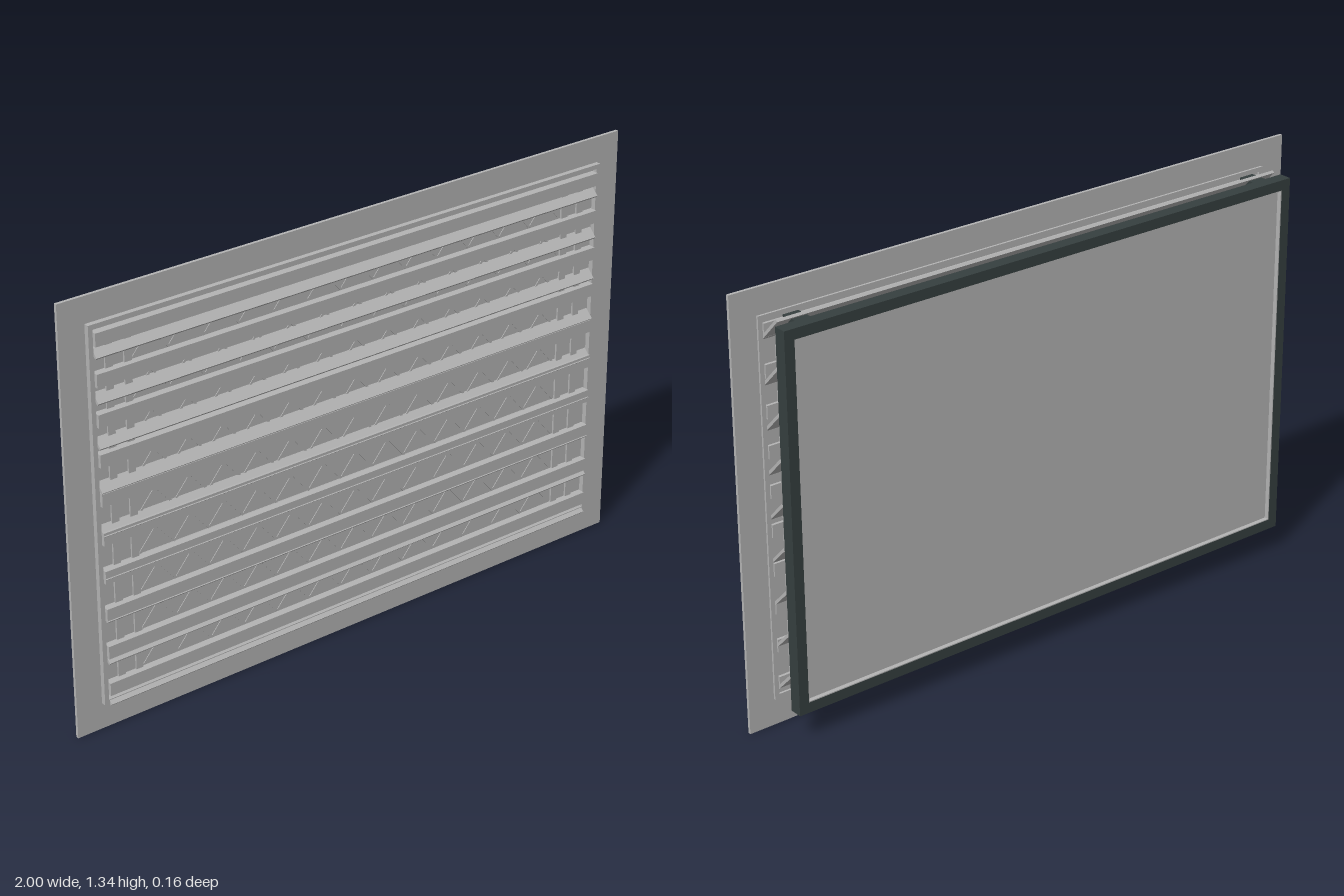
import * as THREE from 'three';
import { mergeGeometries } from 'three/addons/utils/BufferGeometryUtils.js';

const grey = new THREE.MeshStandardMaterial({ color: 0xb4b4b4 });
grey.name = 'painted metal grey';
const dark = new THREE.MeshStandardMaterial({ color: 0x363f3f });
dark.name = 'dark frame';

const CY = 0.668; // height of the grille centre

function addBox(parent, name, mat, x0, x1, y0, y1, z0, z1) {
  const mesh = new THREE.Mesh(new THREE.BoxGeometry(x1 - x0, y1 - y0, z1 - z0), mat);
  mesh.position.set((x0 + x1) / 2, (y0 + y1) / 2, (z0 + z1) / 2);
  mesh.name = name;
  parent.add(mesh);
  return mesh;
}

// Rectangular frame with a rectangular hole, extruded from z0 to z1
function addRing(parent, name, mat, hw, y0, y1, border, z0, z1) {
  const rect = (T, w, a, b) => {
    const p = new T();
    p.moveTo(-w, a);
    p.lineTo(w, a);
    p.lineTo(w, b);
    p.lineTo(-w, b);
    p.closePath();
    return p;
  };
  const shape = rect(THREE.Shape, hw, y0, y1);
  shape.holes.push(rect(THREE.Path, hw - border, y0 + border, y1 - border));
  const mesh = new THREE.Mesh(
    new THREE.ExtrudeGeometry(shape, { depth: z1 - z0, bevelEnabled: false }), mat);
  mesh.position.z = z0;
  mesh.name = name;
  parent.add(mesh);
}

// Fine embossed zigzag lattice on the panel behind the bars
function latticeGeometry() {
  const parts = [];
  const rows = 9, cols = 26, w = 1.54 / cols, h = 0.12;
  for (let r = 0; r < rows; r++) {
    const y = 0.19 + r * h;
    for (let c = 0; c < cols; c++) {
      const g = new THREE.BoxGeometry(Math.hypot(w, 0.07), 0.007, 0.003);
      g.rotateZ(Math.atan2(0.07, w) * (c % 2 ? -1 : 1));
      g.translate(-0.77 + (c + 0.5) * w, y, 0.0565);
      parts.push(g);
    }
  }
  return mergeGeometries(parts);
}

export function createModel() {
  const model = new THREE.Group();
  model.name = 'ventilationGrille';

  // Wall flange with raised rim
  const face = new THREE.Group();
  face.name = 'facePlate';
  model.add(face);
  addBox(face, 'flange', grey, -1, 1, 0, 1.336, 0.046, 0.056);
  addRing(face, 'rim', grey, 0.916, 0.083, 1.256, 0.014, 0.039, 0.072);
  const lattice = new THREE.Mesh(latticeGeometry(), grey);
  lattice.name = 'embossedLattice';
  face.add(lattice);

  // Upright strips under the bars
  for (const s of [-1, 1]) {
    for (const x of [0.848, 0.787]) {
      addBox(face, 'uprightStrip', grey, s * x - 0.012, s * x + 0.012, 0.11, 1.23, 0.04, 0.062);
    }
  }

  // Horizontal bars
  const bars = new THREE.Group();
  bars.name = 'bars';
  model.add(bars);
  for (let i = 0; i < 10; i++) {
    const y = 0.132 + i * 0.12;
    addBox(bars, 'bar', grey, -0.9, 0.9, y - 0.02, y + 0.02, 0.037, 0.08);
  }

  // Slanted louvres
  const louvres = new THREE.Group();
  louvres.name = 'louvres';
  model.add(louvres);
  for (let i = 0; i < 9; i++) {
    const louvre = new THREE.Mesh(new THREE.BoxGeometry(1.8, 0.009, 0.147), grey);
    louvre.position.set(0, 0.133 + i * 0.1345, 0.027);
    louvre.rotation.x = Math.PI / 4;
    louvre.name = 'louvre';
    louvres.add(louvre);
  }

  // Filter cassette behind the louvres
  const filter = new THREE.Group();
  filter.name = 'filter';
  model.add(filter);
  addRing(filter, 'filterFrame', dark, 0.915, 0.085, 1.253, 0.032, -0.081, -0.04);
  addBox(filter, 'filterMedia', grey, -0.883, 0.883, 0.117, 1.221, -0.066, -0.046);
  addRing(filter, 'filterLiner', grey, 0.884, 0.116, 1.222, 0.004, -0.08, -0.064);

  // Mounting clips and brackets
  for (const s of [-1, 1]) {
    const x = s * 0.827;
    addBox(filter, 'topClip', dark, x - 0.025, x + 0.025, 1.215, 1.253, -0.041, 0.016);
    addBox(filter, 'bottomBracket', dark, x - 0.028, x + 0.028, 0.074, 0.138, -0.03, 0.036);
    addBox(filter, 'bracketPin', dark, x - 0.02, x + 0.02, 0.09, 0.116, -0.041, -0.029);
    for (const px of [0.67, 0.835]) {
      for (const y of [0.1, CY * 2 - 0.1]) {
        addBox(filter, 'frameTab', dark, s * px - 0.02, s * px + 0.02, y - 0.012, y + 0.012, -0.041, -0.035);
      }
    }
  }
  return model;
}
